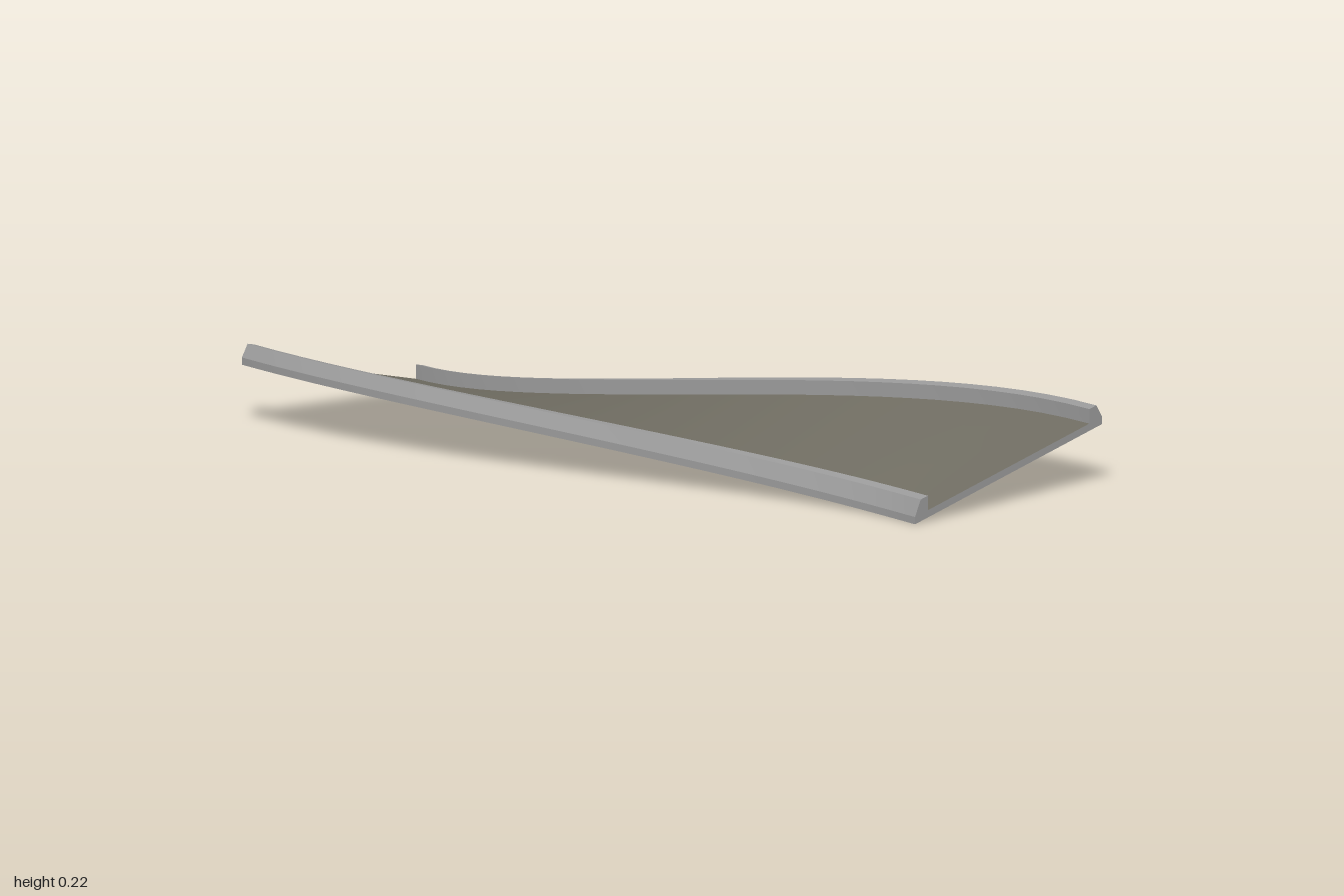
import * as THREE from 'three';
import { mergeGeometries } from 'three/addons/utils/BufferGeometryUtils.js';

const STEPS = 28;

// Maps profile coordinates (u across, h up) at t along the road to space:
// an S-curve in plan, with the banking rolling from one side to the other.
function place(t, u, h) {
  const s = t * t * (3 - 2 * t);
  const dx = 0.66 * 6 * t * (1 - t);
  const len = Math.hypot(2, dx);
  const bank = 0.2576 * (2 * s - 1);
  return [-0.33 + 0.66 * s + (u * 2) / len, 0.085 + h + bank * u, -1 + 2 * t - (u * dx) / len];
}

// Smooth ribbon swept by one edge of the profile
function strip(a, b) {
  const pos = [], index = [];
  for (let i = 0; i <= STEPS; i++) {
    pos.push(...place(i / STEPS, ...a), ...place(i / STEPS, ...b));
    if (i < STEPS) {
      const k = i * 2;
      index.push(k, k + 1, k + 3, k, k + 3, k + 2);
    }
  }
  const g = new THREE.BufferGeometry();
  g.setAttribute('position', new THREE.Float32BufferAttribute(pos, 3));
  g.setIndex(index);
  g.computeVertexNormals();
  return g;
}

// Flat end face closing a profile
function cap(points, t) {
  const g = new THREE.ShapeGeometry(new THREE.Shape(points.map(p => new THREE.Vector2(...p))));
  g.deleteAttribute('uv');
  const p = g.attributes.position;
  for (let i = 0; i < p.count; i++) p.setXYZ(i, ...place(t, p.getX(i), p.getY(i)));
  if (t === 0) g.setIndex(Array.from(g.index.array).reverse());
  g.computeVertexNormals();
  return g;
}

export function createModel() {
  const group = new THREE.Group();
  group.name = 'bankedRoad';
  const concrete = new THREE.MeshStandardMaterial({ color: 0x9a9a9a });
  concrete.name = 'concreteGrey';
  const asphalt = new THREE.MeshStandardMaterial({ color: 0x706d62 });
  asphalt.name = 'asphaltBrownGrey';

  const add = (name, parts, material) => {
    const mesh = new THREE.Mesh(mergeGeometries(parts), material);
    mesh.name = name;
    group.add(mesh);
  };

  const W = 0.33, IN = 0.285, T = 0.02;

  // Driving surface
  add('roadSurface', [strip([IN, T], [-IN, T])], asphalt);

  // Slab underside and ends
  const slab = [[-IN, 0], [IN, 0], [IN, T], [-IN, T]];
  add('roadSlab', [strip([-W, 0], [W, 0]), cap(slab, 0), cap(slab, 1)], concrete);

  // Bevelled curbs, mirrored across the road
  for (const side of [1, -1]) {
    let profile = [[IN, 0], [W, 0], [W, T], [0.31, 0.06], [IN, 0.06], [IN, T]]
      .map(([u, h]) => [u * side, h]);
    const faces = [];
    for (let i = 1; i < 5; i++) {
      const a = profile[i], b = profile[i + 1];
      faces.push(side > 0 ? strip(a, b) : strip(b, a));
    }
    add(side > 0 ? 'leftCurb' : 'rightCurb', [...faces, cap(profile, 0), cap(profile, 1)], concrete);
  }
  return group;
}
